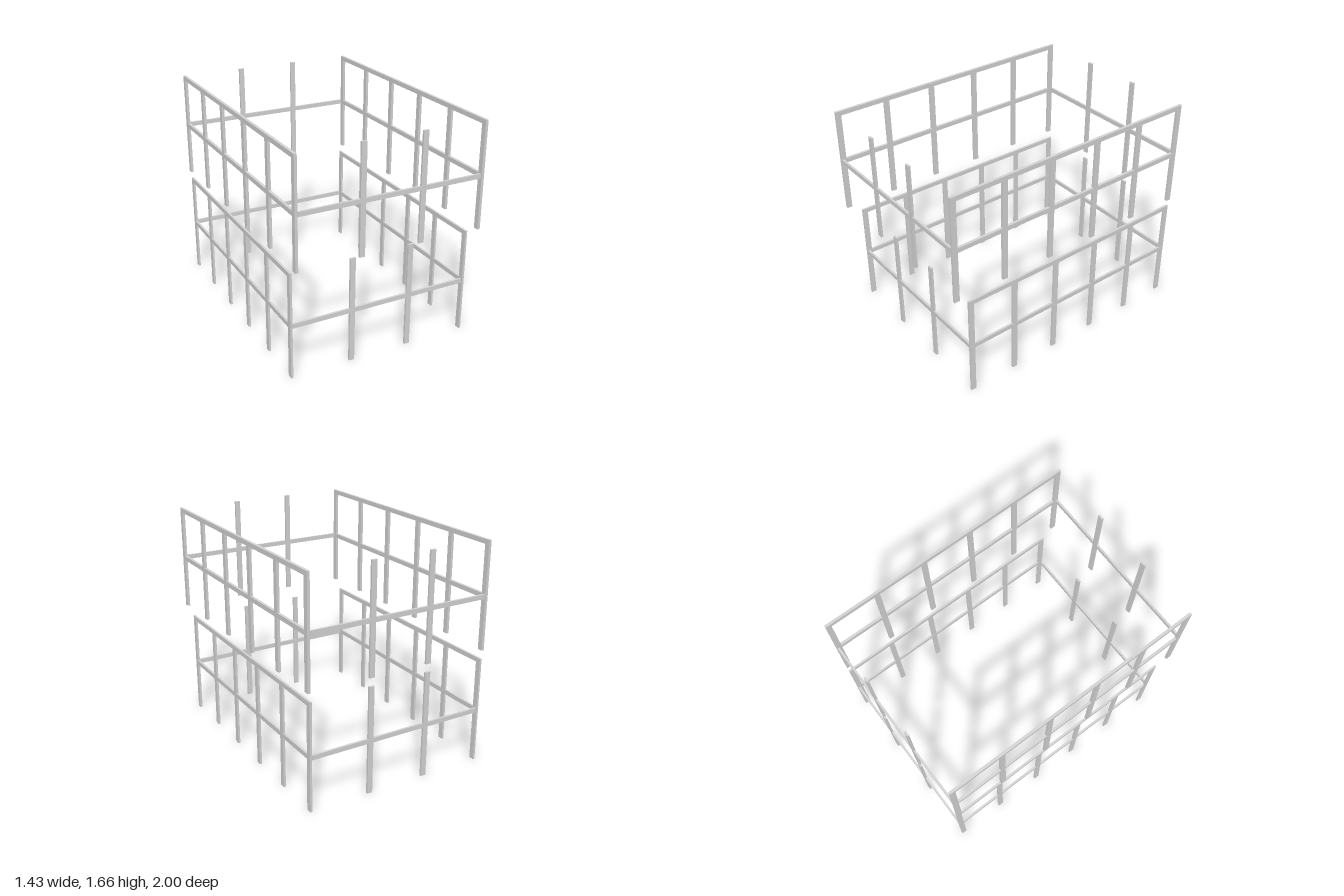
import * as THREE from 'three';

const steel = new THREE.MeshStandardMaterial({ color: 0xd6d6d6 });
steel.name = 'light grey steel';

const POST = 0.04, RAIL = 0.034;

function extrude(shape, depth) {
  return new THREE.ExtrudeGeometry(shape, { depth, bevelEnabled: false }).translate(0, 0, -depth / 2);
}

// Outline from [x, y] corners
function outline(points) {
  return new THREE.Shape(points.map(([x, y]) => new THREE.Vector2(x, y)));
}

// Side railing: six posts, a top rail and a middle rail, cut from one plate
function sideRailing(z0, z1, height, mid, depth) {
  const count = 6, step = (z1 - z0 - POST) / (count - 1);
  const low = mid - RAIL / 2, high = mid + RAIL / 2;
  const points = [[z1, height], [z0, height]];
  const holes = [];
  for (let i = 0; i < count; i++) {
    const a = z0 + i * step, b = a + POST, next = a + step;
    points.push([a, 0], [b, 0]);
    if (i === count - 1) continue;
    points.push([b, low], [next, low]);
    holes.push(outline([[b, high], [b, height - RAIL], [next, height - RAIL], [next, high]]));
  }
  const shape = outline(points);
  shape.holes = holes;
  return extrude(shape, depth).rotateY(-Math.PI / 2);
}

// End railing: two tall posts crossed by one rail
function endRailing(halfWidth, height, mid, depth) {
  const low = mid - RAIL / 2, high = mid + RAIL / 2;
  const a = 0.208, b = 0.248;
  return extrude(outline([
    [-halfWidth, low], [-b, low], [-b, 0], [-a, 0], [-a, low],
    [a, low], [a, 0], [b, 0], [b, low], [halfWidth, low],
    [halfWidth, high], [b, high], [b, height], [a, height], [a, high],
    [-a, high], [-a, height], [-b, height], [-b, high], [-halfWidth, high],
  ]), depth);
}

function createTier({ name, y, height, mid, z0, z1, sideX, sideDepth, endDepth }) {
  const tier = new THREE.Group();
  tier.name = name;
  tier.position.y = y;
  const add = (part, geometry, x, z) => {
    const mesh = new THREE.Mesh(geometry, steel);
    mesh.name = part;
    mesh.position.set(x, 0, z);
    tier.add(mesh);
  };
  const side = sideRailing(z0, z1, height, mid, sideDepth);
  add('leftRailing', side, sideX, 0);
  add('rightRailing', side, -sideX, 0);
  // The end rails stop just short of the side railings
  const end = endRailing(sideX - sideDepth / 2 - 0.004, height, mid, endDepth);
  add('frontRailing', end, 0, z1 - 0.004 - endDepth / 2);
  add('backRailing', end, 0, z0 + 0.002 + endDepth / 2);
  return tier;
}

export function createModel() {
  const model = new THREE.Group();
  model.name = 'twoTierRailing';
  model.add(
    createTier({ name: 'lowerTier', y: 0, height: 0.802, mid: 0.402, z0: -1, z1: 0.882,
      sideX: 0.692, sideDepth: 0.016, endDepth: 0.016 }),
    createTier({ name: 'upperTier', y: 0.863, height: 0.799, mid: 0.4, z0: -1, z1: 1,
      sideX: 0.703, sideDepth: 0.02, endDepth: 0.016 }),
  );
  return model;
}
